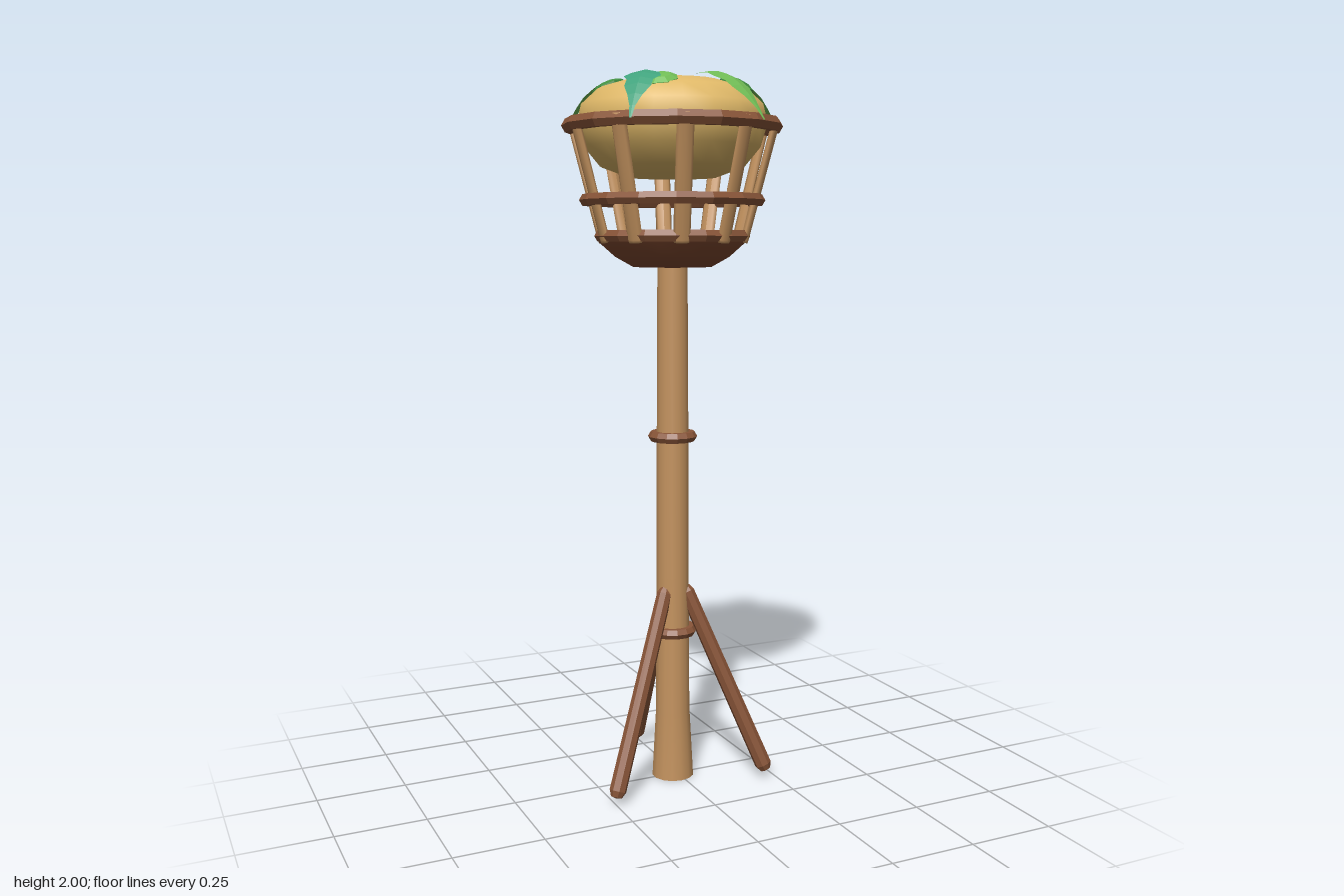
import * as THREE from 'three';

const mat = (color, flat = true, side = THREE.FrontSide) => {
  const m = new THREE.MeshStandardMaterial({ color, side });
  m.flatShading = flat;
  return m;
};
const paleWood = mat(0xc4935f, false);
const darkWood = mat(0x8a5639);
const bowlWood = mat(0x80492f, false);
const gold = mat(0xdfb868, false);
const leafColors = {
  light: mat(0x70bb55, true, THREE.DoubleSide),
  teal: mat(0x40a27c, true, THREE.DoubleSide),
  dark: mat(0x438f42, true, THREE.DoubleSide),
};

function add(parent, name, geometry, material) {
  const mesh = new THREE.Mesh(geometry, material);
  mesh.name = name;
  parent.add(mesh);
  return mesh;
}

const lathe = (points, segments) =>
  new THREE.LatheGeometry(points.map(([r, y]) => new THREE.Vector2(r, y)), segments);

// Horizontal band with a hexagonal section
function band(parent, name, radius, tube, y, segments) {
  const g = new THREE.TorusGeometry(radius, tube, 6, segments).rotateX(Math.PI / 2);
  add(parent, name, g, darkWood).position.y = y;
}

// Place a rod built along y between two points; its local x stays tangential
function span(mesh, from, to) {
  const dir = to.clone().sub(from).normalize();
  const side = new THREE.Vector3(-dir.z, 0, dir.x).normalize();
  const depth = new THREE.Vector3().crossVectors(side, dir);
  mesh.quaternion.setFromRotationMatrix(new THREE.Matrix4().makeBasis(side, dir, depth));
  mesh.position.copy(from).add(to).multiplyScalar(0.5);
}

const polar = (r, angle, y) => new THREE.Vector3(r * Math.cos(angle), y, r * Math.sin(angle));

// Lobed leaf arching outward from base to tip, given in plan as [x, z]
const leafWidths = [[0, 0.043], [0.08, 0.05], [0.2, 0.039], [0.35, 0.05], [0.48, 0.036],
  [0.6, 0.036], [0.75, 0.02], [0.88, 0.008], [1, 0.003]];
function leafGeometry([bx, bz], [tx, tz]) {
  const dx = tx - bx, dz = tz - bz, len = Math.hypot(dx, dz);
  const pos = [], index = [];
  leafWidths.forEach(([t, w], i) => {
    const y = 1.997 + 0.03 * t - 0.165 * t * t;
    for (const s of [-1, 0, 1]) {
      pos.push(bx + dx * t - (dz / len) * w * s, y - Math.abs(s) * w * 0.2, bz + dz * t + (dx / len) * w * s);
    }
    if (i === 0) return;
    for (let k = 0; k < 2; k++) {
      const a = (i - 1) * 3 + k, b = a + 3;
      index.push(a, a + 1, b, b, a + 1, b + 1);
    }
  });
  const g = new THREE.BufferGeometry();
  g.setAttribute('position', new THREE.Float32BufferAttribute(pos, 3));
  g.setIndex(index);
  g.computeVertexNormals();
  return g;
}

export function createModel() {
  const model = new THREE.Group();
  model.name = 'basketStand';
  const root = new THREE.Group();
  root.name = 'stand';
  root.position.set(-0.013, 0, -0.003);
  model.add(root);

  // Pole with a flared foot, and its two bands
  add(root, 'pole', lathe([[0.061, 0], [0.05, 0.2], [0.047, 0.6], [0.046, 1], [0.043, 1.5]], 14), paleWood);
  add(root, 'poleFoot', new THREE.CircleGeometry(0.061, 14).rotateX(Math.PI / 2), paleWood);
  band(root, 'lowerPoleBand', 0.054, 0.016, 0.44, 14);
  band(root, 'upperPoleBand', 0.054, 0.016, 1.007, 14);

  // Three splayed legs, one at the back
  for (let i = 0; i < 3; i++) {
    const angle = -Math.PI / 2 + (i * Math.PI * 2) / 3;
    const from = polar(0.268, angle, 0.033), to = polar(0.038, angle, 0.56);
    const h = from.distanceTo(to) / 2;
    const g = lathe([[0, -h - 0.015], [0.016, -h - 0.011], [0.024, -h + 0.006],
      [0.022, h - 0.006], [0.014, h + 0.011], [0, h + 0.015]], 8);
    span(add(root, 'leg', g, darkWood), from, to);
  }

  // Basket: bowl, hoops and leaning slats
  const basket = new THREE.Group();
  basket.name = 'basket';
  root.add(basket);
  add(basket, 'bowl', lathe([[0, 1.48], [0.11, 1.483], [0.16, 1.511], [0.204, 1.55], [0.206, 1.57]], 20), bowlWood);
  add(basket, 'bowlFloor', new THREE.CircleGeometry(0.206, 20).rotateX(-Math.PI / 2), bowlWood).position.y = 1.563;
  band(basket, 'lowerHoop', 0.199, 0.018, 1.568, 16);
  band(basket, 'middleHoop', 0.24, 0.018, 1.666, 16);
  band(basket, 'topHoop', 0.284, 0.021, 1.866, 16);
  for (let i = 0; i < 10; i++) {
    const angle = (i * Math.PI) / 5;
    const from = polar(0.2, angle, 1.55), to = polar(0.287, angle, 1.88);
    const h = from.distanceTo(to) / 2;
    const g = lathe([[0, -h], [0.9, -h], [1, -h + 0.008], [1, h - 0.008], [0.75, h], [0, h]], 8);
    g.scale(0.023, 1, 0.011);
    g.computeVertexNormals();
    span(add(basket, 'slat', g, paleWood), from, to);
  }

  // Flattened golden fruit resting in the basket
  add(root, 'fruit', lathe([[0, 1.722], [0.12, 1.727], [0.2, 1.756], [0.245, 1.81], [0.263, 1.87],
    [0.25, 1.922], [0.205, 1.963], [0.13, 1.986], [0.06, 1.993], [0, 1.995]], 20), gold);

  // Long leaves drooping over the rim
  const leaves = new THREE.Group();
  leaves.name = 'leaves';
  root.add(leaves);
  const longLeaves = [
    ['light', [0.145, 0], [0.33, 0.005]],
    ['light', [0.035, 0.135], [0.111, 0.322]],
    ['teal', [-0.11, 0.09], [-0.222, 0.225]],
    ['light', [-0.09, -0.122], [-0.225, -0.245]],
    ['teal', [0.068, -0.143], [0.155, -0.315]],
  ];
  for (const [color, base, tip] of longLeaves) {
    add(leaves, 'longLeaf', leafGeometry(base, tip), leafColors[color]);
  }

  // Small round leaves tucked beside them
  const roundLeaves = [['dark', 0.14, 0.108], ['light', -0.098, 0.135], ['dark', -0.145, -0.105], ['light', 0.118, -0.135]];
  for (const [color, x, z] of roundLeaves) {
    const g = new THREE.SphereGeometry(0.052, 8, 5).scale(1, 0.38, 1);
    const leaf = add(leaves, 'roundLeaf', g, leafColors[color]);
    leaf.position.set(x, 1.969, z);
    leaf.quaternion.setFromUnitVectors(new THREE.Vector3(0, 1, 0), new THREE.Vector3(x * 2.4, 1, z * 2.4).normalize());
  }
  return model;
}
